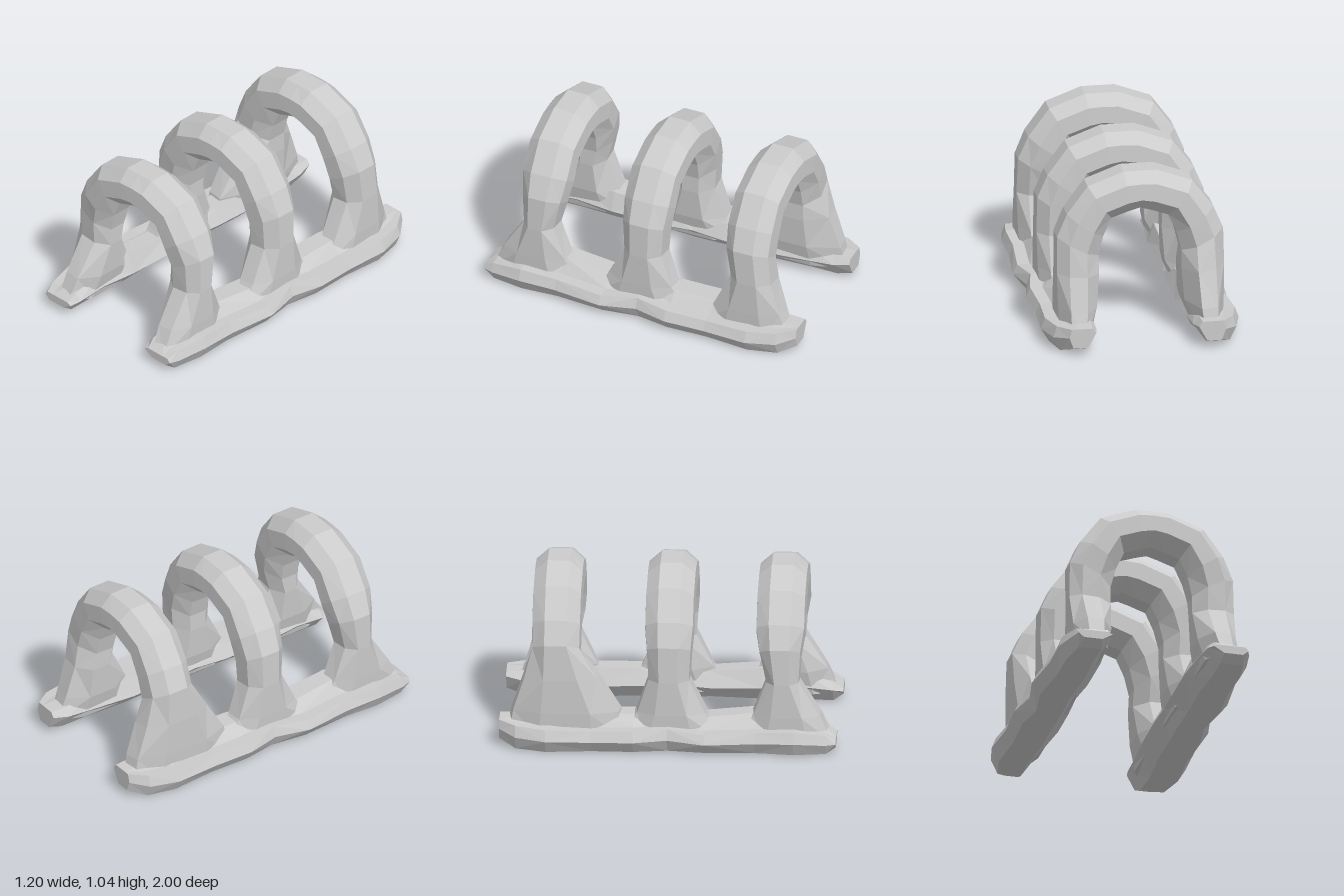
import * as THREE from 'three';

const material = new THREE.MeshStandardMaterial({ color: 0xcccccc, flatShading: true });

// Skin a list of equal-sized rings of [x, y, z], with capped ends
function loft(name, rings) {
  const n = rings[0].length, tris = [];
  for (let i = 0; i < rings.length - 1; i++) {
    for (let j = 0; j < n; j++) {
      const k = (j + 1) % n;
      const a = rings[i][j], b = rings[i][k], c = rings[i + 1][k], d = rings[i + 1][j];
      if ((i + j) % 2) tris.push([a, b, c], [a, c, d]);
      else tris.push([a, b, d], [b, c, d]);
    }
  }
  const first = rings[0], last = rings[rings.length - 1];
  for (let j = 1; j < n - 1; j++) {
    tris.push([first[0], first[j + 1], first[j]], [last[0], last[j], last[j + 1]]);
  }
  // Turn the faces outward when the enclosed volume comes out negative
  const v = (p) => new THREE.Vector3(...p);
  const volume = tris.reduce((s, [a, b, c]) => s + v(a).dot(v(b).cross(v(c))), 0);
  if (volume < 0) tris.forEach((t) => t.reverse());
  const geometry = new THREE.BufferGeometry();
  geometry.setAttribute('position', new THREE.Float32BufferAttribute(tris.flat(2), 3));
  geometry.computeVertexNormals();
  const mesh = new THREE.Mesh(geometry, material);
  mesh.name = name;
  return mesh;
}

// Half arch from foot to crown: outer x, y, inner x, y
const archProfile = [
  [0.49, 0.06, 0.30, 0.07],
  [0.50, 0.23, 0.265, 0.22],
  [0.505, 0.44, 0.25, 0.42],
  [0.50, 0.66, 0.25, 0.53],
  [0.44, 0.80, 0.22, 0.65],
  [0.315, 0.97, 0.17, 0.76],
  [0.10, 1.05, 0.07, 0.795],
  [0, 1.05, 0, 0.815],
];

// Octagonal section: t runs inner to outer, s runs back to front
const octagon = [
  [1, 0.45], [0.74, 0.96], [0.32, 1], [0, 0.42],
  [0, -0.42], [0.32, -1], [0.74, -0.96], [1, -0.45],
];

// Flares list [front z, back z] for the lowest four stations of a leg
function arch(name, z, leftFlare, rightFlare) {
  const ring = (i, side) => {
    const [xo, yo, xi, yi] = archProfile[i];
    const flare = side > 0 ? leftFlare : rightFlare;
    const [zf, zb] = flare[i] || [z + 0.147, z - 0.147];
    return octagon.map(([t, s]) => [
      side * (xi + (xo - xi) * t),
      yi + (yo - yi) * t,
      (zf + zb) / 2 + s * (zf - zb) / 2,
    ]);
  };
  const rings = [];
  for (let i = 0; i < archProfile.length; i++) rings.push(ring(i, 1));
  for (let i = archProfile.length - 2; i >= 0; i--) rings.push(ring(i, -1));
  return loft(name, rings);
}

// Rail stations: z, inner x, outer x, bottom, outer top, inner top
const railStations = [
  [1.0, 0.31, 0.52, 0.05, 0.10, 0.10],
  [0.94, 0.29, 0.54, 0.01, 0.13, 0.14],
  [0.75, 0.28, 0.575, 0.01, 0.16, 0.20],
  [0.52, 0.26, 0.57, 0.015, 0.15, 0.23],
  [0.22, 0.26, 0.60, 0.02, 0.14, 0.20],
  [0, 0.27, 0.555, 0.015, 0.16, 0.18],
  [-0.2, 0.26, 0.595, 0.015, 0.15, 0.21],
  [-0.45, 0.26, 0.58, 0.01, 0.14, 0.21],
  [-0.72, 0.28, 0.595, 0.005, 0.15, 0.20],
  [-0.9, 0.29, 0.55, 0.01, 0.16, 0.17],
  [-1.0, 0.31, 0.47, 0.05, 0.17, 0.17],
];

function rail(name, side) {
  return loft(name, railStations.map(([z, xi, xo, lo, top, ridge]) => {
    const w = xo - xi, h = top - lo;
    return [
      [xi, lo + 0.75 * h], [xi + 0.3 * w, lo], [xo - 0.15 * w, lo], [xo, lo + 0.55 * h],
      [xo - 0.08 * w, top], [xo - 0.3 * w, top], [xo - 0.5 * w, ridge], [xi + 0.14 * w, ridge],
    ].map(([x, y]) => [side * x, y, z]);
  }));
}

export function createModel() {
  const model = new THREE.Group();
  model.name = 'archedFrame';

  // Three hoops whose legs spread into the rails
  const front = [[0.99, 0.42], [0.91, 0.50], [0.78, 0.58], [0.79, 0.54]];
  const middle = [[0.33, -0.30], [0.23, -0.19], [0.13, -0.12], [0.14, -0.13]];
  const backLeft = [[-0.38, -0.94], [-0.46, -0.89], [-0.56, -0.83], [-0.53, -0.81]];
  const backRight = [[-0.25, -0.96], [-0.28, -0.93], [-0.41, -0.86], [-0.52, -0.81]];
  model.add(
    arch('frontArch', 0.665, front, front),
    arch('middleArch', 0.005, middle, middle),
    arch('backArch', -0.665, backLeft, backRight),
  );

  // Ground rails
  model.add(rail('leftRail', 1), rail('rightRail', -1));
  return model;
}
